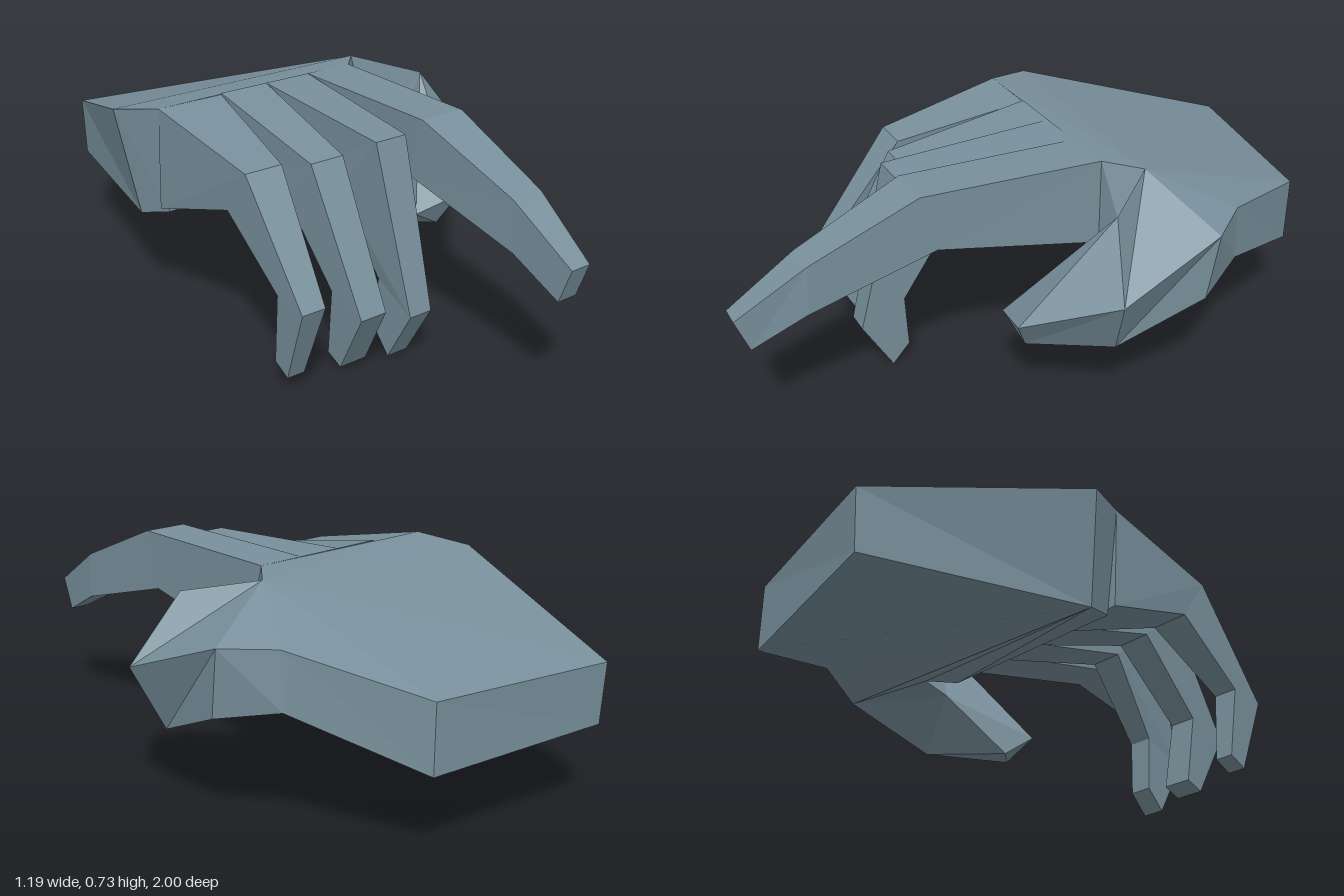
import * as THREE from 'three';

const material = new THREE.MeshStandardMaterial({ color: 0x78909c, flatShading: true });

// Joins successive rings of corners with quads; caps are fans from a chosen corner.
function loft(name, rings, startFan = 0, endFan = 0) {
  const out = [];
  const n = rings[0].length;
  const tri = (...corners) => corners.forEach((c) => out.push(...c));
  for (let r = 0; r < rings.length - 1; r++) {
    const a = rings[r], b = rings[r + 1];
    for (let i = 0; i < n; i++) {
      const j = (i + 1) % n;
      tri(a[i], b[i], b[j]);
      tri(a[i], b[j], a[j]);
    }
  }
  const first = rings[0], last = rings[rings.length - 1];
  for (let k = 1; k < n - 1; k++) {
    const at = (ring, fan, s) => ring[(fan + s) % n];
    tri(first[startFan], at(first, startFan, k), at(first, startFan, k + 1));
    tri(last[endFan], at(last, endFan, k + 1), at(last, endFan, k));
  }
  const geometry = new THREE.BufferGeometry();
  geometry.setAttribute('position', new THREE.Float32BufferAttribute(out, 3));
  geometry.computeVertexNormals();
  const mesh = new THREE.Mesh(geometry, material);
  mesh.name = name;
  return mesh;
}

// Four-sided finger; each section is [x0, x1, topY, topZ, bottomY, bottomZ].
function finger(name, sections) {
  return loft(name, sections.map(([x0, x1, ty, tz, by, bz]) => [
    [x0, ty, tz], [x1, ty, tz], [x1, by, bz], [x0, by, bz],
  ]));
}

export function createModel() {
  const hand = new THREE.Group();
  hand.name = 'hand';

  // Palm: back of the hand above, palm surface below
  const back = [
    [-0.38, 0.485, -1.0], [-0.6, 0.685, -0.32], [-0.53, 0.715, -0.16], [0.2, 0.72, -0.16],
    [0.29, 0.71, -0.26], [0.56, 0.585, -0.36], [0.45, 0.59, -0.5], [0.25, 0.49, -0.88],
  ];
  const under = [
    [-0.38, 0.29, -0.99], [-0.54, 0.33, -0.29], [-0.5, 0.36, -0.18], [0.2, 0.385, -0.16],
    [0.32, 0.42, -0.2], [0.55, 0.37, -0.33], [0.45, 0.41, -0.51], [0.25, 0.275, -0.88],
  ];
  hand.add(loft('palm', [back, under], 4, 1));

  // Thumb: base, knuckle, tip
  hand.add(loft('thumb', [
    [back[4], back[5], under[5], under[4]],
    [[0.44, 0.67, -0.07], [0.59, 0.455, -0.01], [0.49, 0.245, -0.05], [0.33, 0.4, -0.1]],
    [[0.21, 0.29, 0.19], [0.37, 0.33, 0.22], [0.32, 0.225, 0.17], [0.25, 0.22, 0.1]],
  ]));

  // Extended index finger
  hand.add(finger('indexFinger', [
    [0.03, 0.2, 0.72, -0.16, 0.43, -0.17],
    [0.01, 0.165, 0.73, 0.43, 0.54, 0.38],
    [0.04, 0.15, 0.59, 0.78, 0.43, 0.79],
    [0.05, 0.12, 0.455, 1.0, 0.345, 0.96],
  ]));

  // Curled fingers
  hand.add(finger('middleFinger', [
    [-0.135, 0.03, 0.72, -0.16, 0.41, -0.17],
    [-0.155, -0.045, 0.695, 0.42, 0.5, 0.24],
    [-0.13, -0.05, 0.18, 0.56, 0.25, 0.41],
    [-0.13, -0.055, 0.005, 0.46, 0.07, 0.4],
  ]));
  hand.add(finger('ringFinger', [
    [-0.305, -0.135, 0.72, -0.16, 0.4, -0.17],
    [-0.32, -0.205, 0.64, 0.33, 0.5, 0.2],
    [-0.315, -0.225, 0.23, 0.56, 0.27, 0.42],
    [-0.305, -0.21, 0.025, 0.45, 0.05, 0.39],
  ]));
  hand.add(finger('littleFinger', [
    [-0.53, -0.305, 0.715, -0.16, 0.38, -0.18],
    [-0.505, -0.38, 0.635, 0.27, 0.49, 0.17],
    [-0.5, -0.42, 0.295, 0.53, 0.31, 0.41],
    [-0.49, -0.43, 0.05, 0.44, 0.08, 0.38],
  ]));

  return hand;
}
